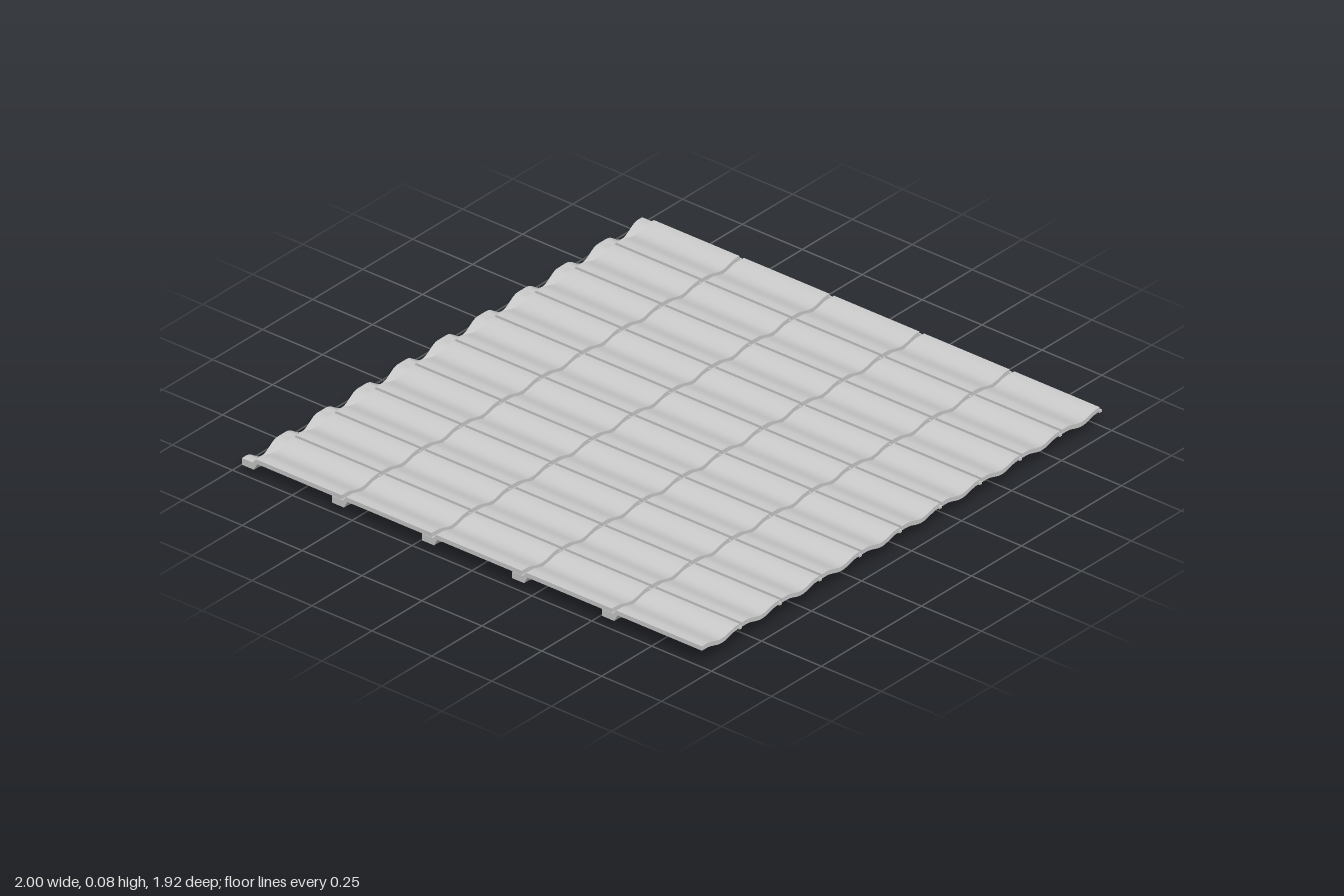
import * as THREE from 'three';
import { toCreasedNormals } from 'three/addons/utils/BufferGeometryUtils.js';

const COLS = 10, ROWS = 5, WIDTH = 0.2, PITCH = 0.376, FRONT = 0.96;

// Valley depth factor across one tile: 0 on the ridges, 1 in the middle
function valley(u) {
  const d = Math.abs(u - WIDTH / 2) / 0.078;
  return d < 1 ? 0.5 + 0.5 * Math.cos(Math.PI * d) : 0;
}

// One pressed tile: a wavy slab that steps down to a deeper wavy ledge at its back
function tileGeometry() {
  // Stations across the width: [u, drop of the side lap]
  const stations = [];
  for (let i = 0; i <= 18; i++) stations.push([i * 0.188 / 18, 0]);
  stations.push([0.1885, 0.014], [WIDTH, 0.014]);

  // Closed section along z at each station: four top points, then four below
  const section = ([u, drop]) => {
    const v = valley(u);
    const top = 0.077 - 0.015 * v - drop;
    const under = top - (drop ? 0.008 : 0.016);
    const ledge = 0.06 - 0.035 * v;
    const base = ledge - 0.025;
    return [
      [u, top, 0], [u, top, -0.357], [u, ledge, -0.371], [u, ledge, -0.416],
      [u, base, -0.416], [u, base, -0.366], [u, under, -0.352], [u, under, 0],
    ];
  };

  const positions = [], index = [];
  const quad = (a, b, c, d) => index.push(a, b, c, a, c, d);
  stations.forEach((s) => section(s).forEach((p) => positions.push(...p)));
  for (let i = 0; i < stations.length - 1; i++) {
    for (let j = 0; j < 8; j++) {
      const k = (j + 1) % 8, a = i * 8, b = a + 8;
      quad(a + j, b + j, b + k, a + k);
    }
  }
  // Side caps
  const last = (stations.length - 1) * 8;
  for (let k = 0; k < 3; k++) {
    quad(last + k, last + 7 - k, last + 6 - k, last + k + 1);
    quad(k, k + 1, 6 - k, 7 - k);
  }

  const geometry = new THREE.BufferGeometry();
  geometry.setAttribute('position', new THREE.Float32BufferAttribute(positions, 3));
  geometry.setIndex(index);
  return toCreasedNormals(geometry, 0.5);
}

export function createModel() {
  const model = new THREE.Group();
  model.name = 'roofTilePanel';
  const material = new THREE.MeshStandardMaterial({ color: 0xcccccc });
  const geometry = tileGeometry();

  // Courses run from the front edge to the back
  for (let r = 0; r < ROWS; r++) {
    const course = new THREE.Group();
    course.name = `tileCourse${r + 1}`;
    course.position.z = FRONT - r * PITCH;
    for (let c = 0; c < COLS; c++) {
      const tile = new THREE.Mesh(geometry, material);
      tile.name = `tile${c + 1}`;
      tile.position.x = -1 + c * WIDTH;
      course.add(tile);
    }
    model.add(course);
  }
  return model;
}
